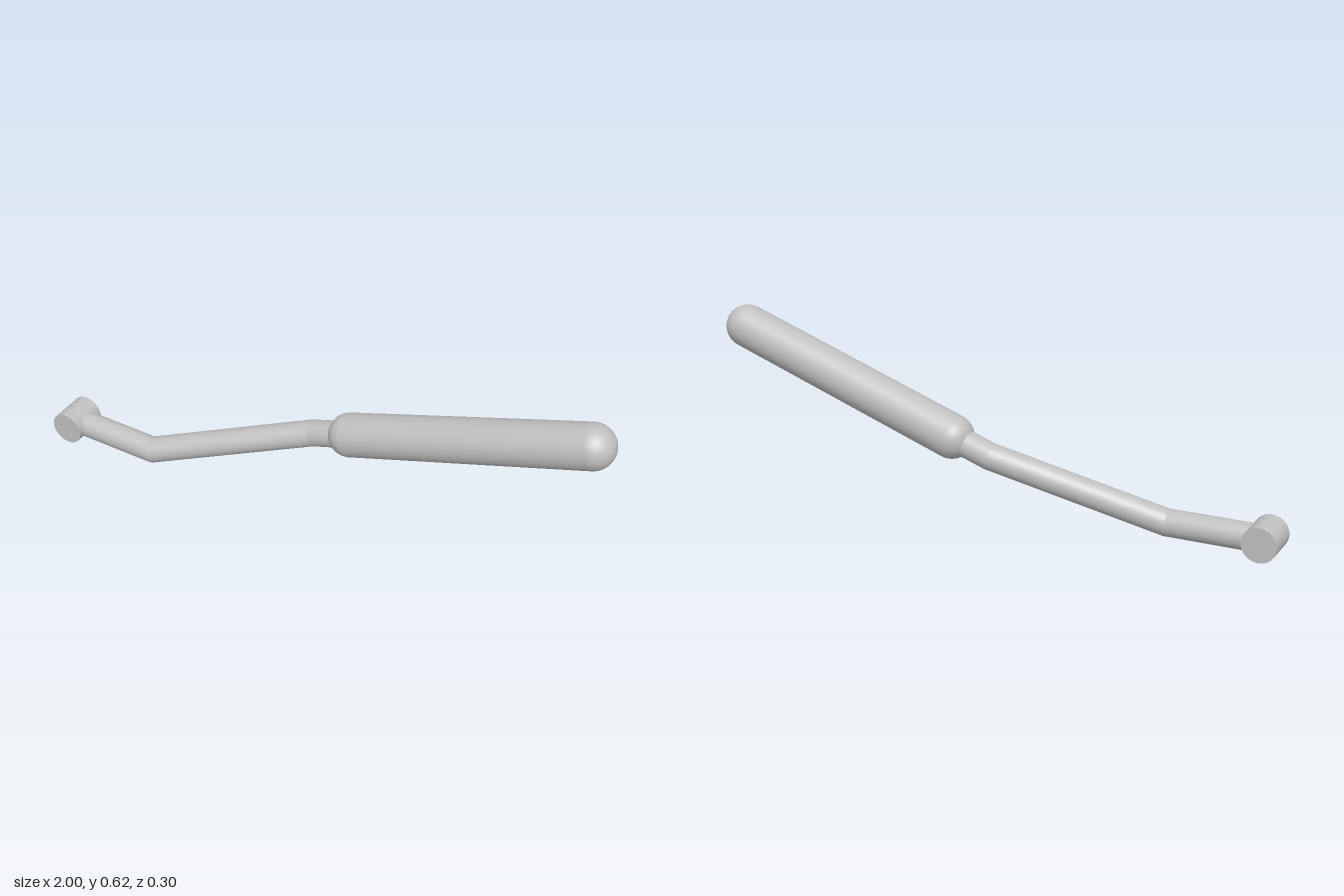
import * as THREE from 'three';

export function createModel() {
  const model = new THREE.Group();
  const grey = new THREE.MeshStandardMaterial({ color: 0xc0c0c0 });
  grey.name = 'plain grey';
  const up = new THREE.Vector3(0, 1, 0);

  const add = (name, geometry, position) => {
    const mesh = new THREE.Mesh(geometry, grey);
    mesh.name = name;
    mesh.position.copy(position);
    model.add(mesh);
    return mesh;
  };

  // Turns a y-aligned part so that it runs from a to b
  const span = (name, makeGeometry, a, b) => {
    const dir = b.clone().sub(a);
    const mesh = add(name, makeGeometry(dir.length()), a.clone().add(b).multiplyScalar(0.5));
    mesh.quaternion.setFromUnitVectors(up, dir.normalize());
  };

  // Pivot hub, a short cylinder lying along z
  const hub = add('pivotHub', new THREE.CylinderGeometry(0.059, 0.059, 0.127, 48), new THREE.Vector3(-0.941, 0.061, 0.088));
  hub.rotation.x = Math.PI / 2;

  // Bent rod from the hub into the grip
  const rodRadius = 0.046;
  const path = [
    new THREE.Vector3(-0.941, 0.059, 0.087),
    new THREE.Vector3(-0.61, 0.049, 0.087),
    new THREE.Vector3(-0.045, 0.23, -0.075),
    new THREE.Vector3(0.099, 0.276, -0.075),
  ];
  for (let i = 0; i < path.length - 1; i++) {
    span('rodSection', (length) => new THREE.CylinderGeometry(rodRadius, rodRadius, length, 40, 1, true), path[i], path[i + 1]);
    if (i > 0) add('rodBend', new THREE.SphereGeometry(rodRadius, 40, 24), path[i]);
  }

  // Round-ended grip
  span('grip', (length) => new THREE.CapsuleGeometry(0.0755, length, 16, 48), path[3], new THREE.Vector3(0.9245, 0.547, -0.075));

  return model;
}
